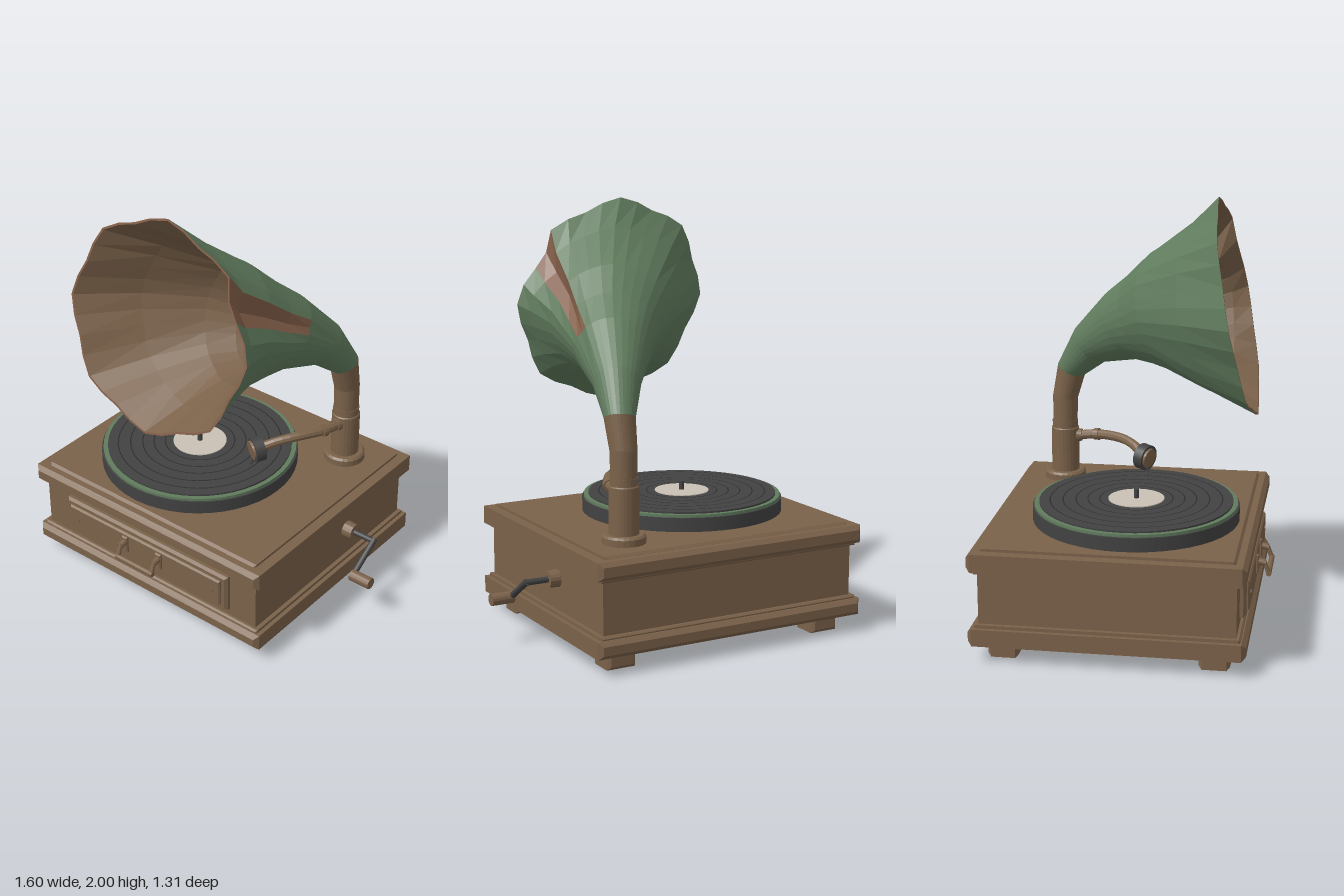
import * as THREE from 'three';

const mat = (name, color) => Object.assign(new THREE.MeshStandardMaterial({ color }), { name });

export function createModel() {
  const root = new THREE.Group();
  root.name = 'gramophone';
  const wood = mat('wood brown', 0x7b624a);
  const green = mat('patina green', 0x617c5e);
  const dark = mat('dark metal', 0x424242);
  const cream = mat('label cream', 0xcac1b4);
  const rust = mat('rust', 0x84604a);
  const groove = mat('groove black', 0x2c2c2c);
  wood.flatShading = green.flatShading = rust.flatShading = true;

  const add = (name, geo, material, x = 0, y = 0, z = 0, parent = root) => {
    const m = new THREE.Mesh(geo, material);
    m.name = name;
    m.position.set(x, y, z);
    parent.add(m);
    return m;
  };
  // chamfered block centred on its origin
  const block = (w, h, d, b) => {
    const x = w / 2 - b, y = h / 2 - b;
    const s = new THREE.Shape([[-x, -y], [x, -y], [x, y], [-x, y]].map(p => new THREE.Vector2(...p)));
    return new THREE.ExtrudeGeometry(s, { depth: d - 2 * b, bevelSize: b, bevelThickness: b, bevelSegments: 1 })
      .translate(0, 0, b - d / 2);
  };
  // cylinder from point a to point b
  const rod = (name, a, b, r, material, r2 = r, sides = 16) => {
    const A = new THREE.Vector3(...a), B = new THREE.Vector3(...b), dir = B.clone().sub(A);
    const m = add(name, new THREE.CylinderGeometry(r2, r, dir.length(), sides), material);
    m.position.copy(A).add(B).multiplyScalar(0.5);
    m.quaternion.setFromUnitVectors(new THREE.Vector3(0, 1, 0), dir.normalize());
    return m;
  };

  // cabinet
  const cx = -0.11, cz = -0.035;
  add('cabinetBody', new THREE.BoxGeometry(1.3, 0.3, 1.15), wood, cx, 0.29, cz);
  add('bottomMoulding', block(1.38, 0.08, 1.24, 0.02), wood, cx, 0.12, cz);
  add('bottomTrim', block(1.34, 0.02, 1.19, 0.008), wood, cx, 0.165, cz);
  add('topMoulding', block(1.38, 0.085, 1.24, 0.02), wood, cx, 0.47, cz);
  add('topTrim', block(1.34, 0.02, 1.19, 0.008), wood, cx, 0.425, cz);
  add('topPanel', block(1.28, 0.03, 1.14, 0.012), wood, cx, 0.51, cz);
  for (const x of [-0.65, 0.43]) for (const z of [0.44, -0.51])
    add('foot', block(0.14, 0.085, 0.14, 0.015), wood, x, 0.0425, z);

  // drawer with two screws and a pull handle
  add('drawerFrame', block(1.0, 0.19, 0.04, 0.012), wood, -0.11, 0.305, 0.548);
  add('drawerFront', block(0.94, 0.14, 0.03, 0.008), wood, -0.11, 0.305, 0.567);
  for (const x of [-0.53, 0.31])
    rod('drawerScrew', [x, 0.305, 0.575], [x, 0.305, 0.586], 0.012, wood);
  for (const x of [-0.215, -0.005]) {
    add('handlePlate', block(0.035, 0.085, 0.02, 0.006), wood, x, 0.32, 0.585);
    rod('handlePost', [x, 0.335, 0.58], [x, 0.325, 0.625], 0.016, wood);
    rod('handleSide', [x, 0.34, 0.615], [x, 0.275, 0.64], 0.011, wood);
  }
  rod('handleGrip', [-0.225, 0.275, 0.64], [0.005, 0.275, 0.64], 0.013, wood);

  // side crank
  rod('crankHub', [0.53, 0.325, -0.165], [0.59, 0.325, -0.165], 0.042, wood, 0.038);
  rod('crankShaft', [0.58, 0.325, -0.165], [0.708, 0.325, -0.165], 0.014, dark);
  rod('crankArm', [0.698, 0.33, -0.173], [0.698, 0.212, 0.005], 0.015, dark);
  rod('crankGrip', [0.69, 0.217, -0.005], [0.8, 0.217, -0.005], 0.028, wood);

  // turntable and record
  const deck = new THREE.Group();
  deck.name = 'turntable';
  deck.position.set(-0.22, 0, 0.02);
  root.add(deck);
  const disc = (name, r, y0, y1, m) =>
    add(name, new THREE.CylinderGeometry(r, r, y1 - y0, 48), m, 0, (y0 + y1) / 2, 0, deck);
  disc('platter', 0.48, 0.52, 0.59, dark);
  disc('platterFelt', 0.472, 0.59, 0.603, green);
  disc('record', 0.45, 0.603, 0.611, dark);
  for (const r of [0.17, 0.225, 0.28, 0.34, 0.4])
    add('recordGroove', new THREE.RingGeometry(r - 0.003, r + 0.003, 48).rotateX(-Math.PI / 2), groove, 0, 0.6125, 0, deck);
  disc('recordLabel', 0.13, 0.611, 0.615, cream);
  disc('spindle', 0.012, 0.61, 0.657, dark);

  // horn support column
  const px = 0.335, pz = -0.42;
  const column = [[0, 0.52], [0.1, 0.52], [0.1, 0.555], [0.09, 0.565], [0.068, 0.565], [0.068, 0.78],
    [0.063, 0.785], [0.063, 0.82], [0, 0.82]];
  add('hornColumn', new THREE.LatheGeometry(column.map(p => new THREE.Vector2(...p)), 24), wood, px, 0, pz);

  // tone arm, sound box and needle
  const armPath = new THREE.CatmullRomCurve3([[px, 0.735, -0.38], [0.322, 0.752, -0.26], [0.25, 0.756, -0.12],
    [0.19, 0.74, -0.05], [0.135, 0.71, 0]].map(p => new THREE.Vector3(...p)));
  add('toneArm', new THREE.TubeGeometry(armPath, 12, 0.023, 10), wood);
  rod('armSocket', [px, 0.74, -0.42], [0.33, 0.742, -0.335], 0.038, wood, 0.03);
  rod('armCollar', [0.325, 0.75, -0.27], [0.318, 0.753, -0.245], 0.029, wood);
  rod('soundBox', [0.14, 0.708, -0.012], [0.116, 0.703, 0.03], 0.062, dark, 0.062, 20);
  rod('soundBoxFace', [0.118, 0.703, 0.026], [0.112, 0.701, 0.037], 0.05, wood, 0.047, 20);
  rod('needle', [0.117, 0.66, 0.02], [0.1, 0.612, 0.025], 0.006, dark, 0.003, 8);

  // horn rings: centre x, y, z, radius, yaw, pitch, lobe depth, dent
  const stations = [
    [px, 0.81, pz, 0.06, -26, 90, 0, 0],
    [px, 0.94, -0.417, 0.062, -26, 84, 0, 0],
    [0.336, 1.08, -0.385, 0.071, -26, 65, 0, 0],
    [0.29, 1.22, -0.275, 0.11, -26, 43, 0, 0],
    [0.21, 1.34, -0.09, 0.18, -26, 30, 0, 0.04],
    [0.16, 1.385, 0.02, 0.226, -25, 22, 0.004, 0.13],
    [0.1, 1.435, 0.13, 0.288, -23, 16, 0.008, 0.17],
    [0.005, 1.475, 0.315, 0.392, -12, 10, 0.02, 0.15],
    [-0.08, 1.5, 0.47, 0.493, 0, 11, 0.034, 0.08],
  ];
  const N = 32, rad = Math.PI / 180;
  const dentShape = { 2: 0.4, 3: 1 };
  const ring = ([x, y, z, r, yaw, pitch, lobe, dent], inset) => {
    const sy = Math.sin(yaw * rad), cy = Math.cos(yaw * rad), sp = Math.sin(pitch * rad), cp = Math.cos(pitch * rad);
    return Array.from({ length: N }, (_, k) => {
      const t = k / N * 2 * Math.PI;
      const q = r * (1 + lobe * Math.cos(8 * t)) * (1 - dent * (dentShape[k] || 0)) - inset;
      const a = q * Math.cos(t), b = q * Math.sin(t);
      return [x + a * cy - b * sp * sy, y + b * cp, z - a * sy - b * sp * cy];
    });
  };
  // facets between successive rings, kept where the test passes
  const skin = (rings, flip = false, keep = () => true) => {
    const pos = [];
    for (let i = 0; i < rings.length - 1; i++) for (let k = 0; k < N; k++) {
      if (!keep(i, k)) continue;
      const j = (k + 1) % N;
      const [a, b, c, d] = [rings[i][k], rings[i][j], rings[i + 1][j], rings[i + 1][k]];
      pos.push(...(flip ? [a, c, b, a, d, c] : [a, b, c, a, c, d]).flat());
    }
    const g = new THREE.BufferGeometry();
    g.setAttribute('position', new THREE.Float32BufferAttribute(pos, 3));
    g.computeVertexNormals();
    return g;
  };
  const outer = stations.map(s => ring(s, 0)), inner = stations.map(s => ring(s, 0.01));
  const worn = (i, k) => i >= 2 && (k === 2 || k === 3);
  const bell = outer.slice(2);
  add('hornNeck', skin(outer.slice(0, 3)), wood);
  add('hornBell', skin(bell, false, (i, k) => !worn(i, k)), green);
  add('hornWornPatch', skin(bell, false, worn), rust);
  add('hornInside', skin(inner, true), wood);
  add('hornRim', skin([outer.at(-1), inner.at(-1)]), rust);

  return root;
}
